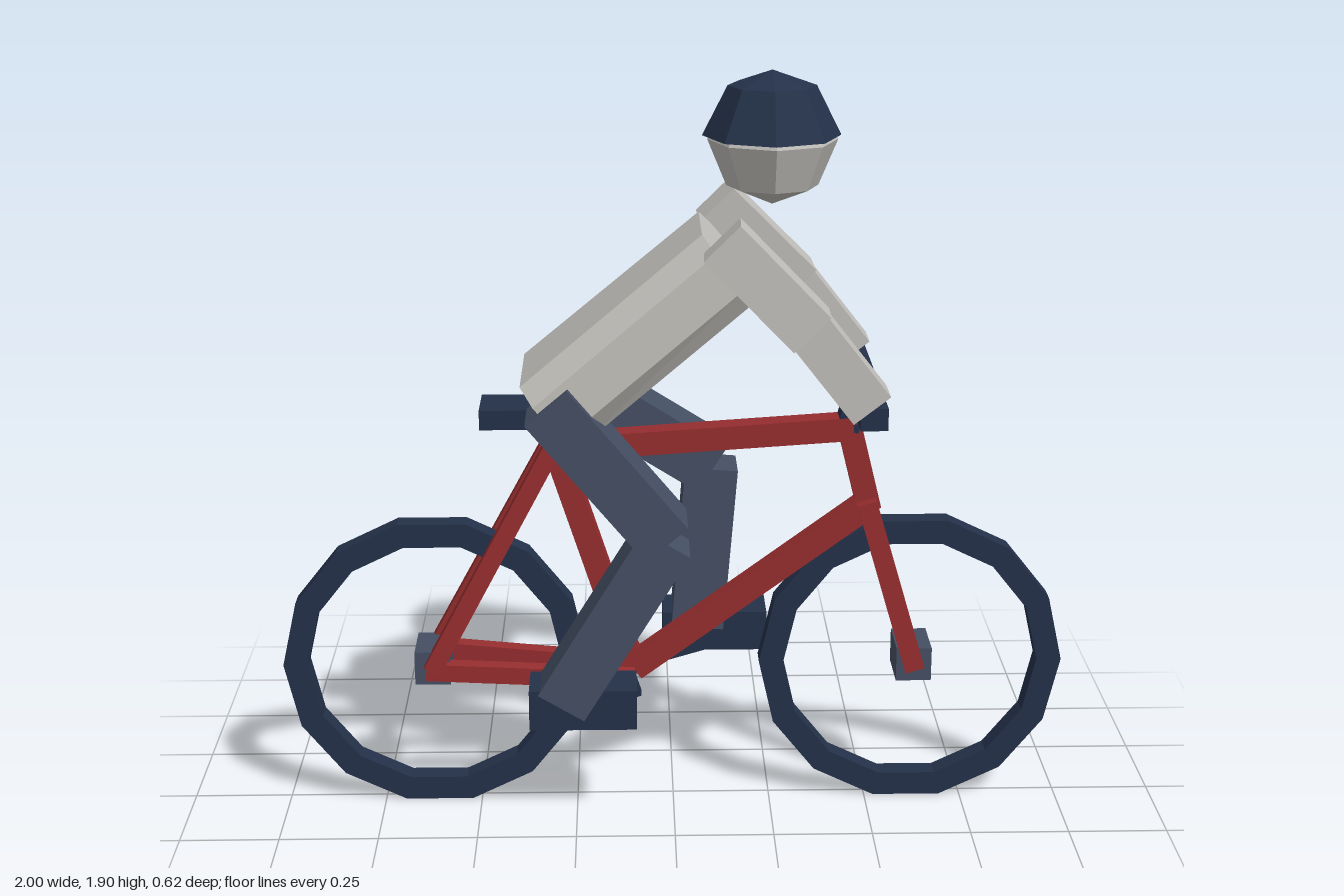
import * as THREE from 'three';

const mat = (name, color, side = THREE.FrontSide) => {
  const m = new THREE.MeshStandardMaterial({ color, side, flatShading: true });
  m.name = name;
  return m;
};
const V = (x, y, z = 0) => new THREE.Vector3(x, y, z);

export function createModel() {
  const navy = mat('navy', 0x243149, THREE.DoubleSide);
  const slate = mat('slate', 0x454f63);
  const red = mat('frameRed', 0x962d2f);
  const grey = mat('lightGrey', 0xc2c0bb);

  const root = new THREE.Group();
  root.name = 'cyclist';
  const group = (name) => {
    const g = new THREE.Group();
    g.name = name;
    root.add(g);
    return g;
  };
  const bike = group('bicycle');
  const rider = group('rider');

  const add = (parent, name, geo, material) => {
    const m = new THREE.Mesh(geo, material);
    m.name = name;
    parent.add(m);
    return m;
  };
  const box = (parent, name, material, size, pos) => {
    const m = add(parent, name, new THREE.BoxGeometry(...size), material);
    m.position.set(...pos);
    return m;
  };
  // Square bar from a to b: h is its height in the side plane, d its width in z
  const bar = (parent, name, material, a, b, h, d) => {
    const m = add(parent, name, new THREE.BoxGeometry(a.distanceTo(b), h, d), material);
    const X = b.clone().sub(a).normalize();
    const Y = V(0, 0, 1).cross(X).normalize();
    const Z = X.clone().cross(Y);
    m.quaternion.setFromRotationMatrix(new THREE.Matrix4().makeBasis(X, Y, Z));
    m.position.copy(a).add(b).multiplyScalar(0.5);
    return m;
  };

  // Wheels: 14-sided flat rings with box hubs
  const ringPoints = (r) => Array.from({ length: 14 }, (_, i) => {
    const a = (i / 14) * Math.PI * 2;
    return new THREE.Vector2(Math.cos(a) * r, Math.sin(a) * r);
  });
  const ring = new THREE.Shape(ringPoints(0.39));
  ring.holes.push(new THREE.Path(ringPoints(0.327).reverse()));
  const tyre = new THREE.ExtrudeGeometry(ring, { depth: 0.056, bevelEnabled: false });
  tyre.translate(0, 0, -0.028);
  for (const [name, x] of [['rear', -1], ['front', 1]]) {
    add(bike, name + 'Wheel', tyre, navy).position.set(x * 0.61, 0.38, 0);
    box(bike, name + 'Hub', slate, [0.09, 0.088, 0.135], [x * 0.615, 0.385, 0]);
  }

  // Frame
  bar(bike, 'topTube', red, V(-0.3, 0.955), V(0.45, 1.005), 0.06, 0.06);
  bar(bike, 'headTube', red, V(0.435, 1.03), V(0.495, 0.79), 0.06, 0.06);
  bar(bike, 'downTube', red, V(0.5, 0.805), V(-0.1, 0.36), 0.06, 0.06);
  bar(bike, 'seatTube', red, V(-0.315, 1.02), V(-0.1, 0.35), 0.06, 0.06);
  for (const s of [1, -1]) {
    bar(bike, 'seatStay', red, V(-0.3, 0.97, s * 0.04), V(-0.615, 0.385, s * 0.075), 0.045, 0.04);
    bar(bike, 'chainStay', red, V(-0.1, 0.345, s * 0.045), V(-0.63, 0.385, s * 0.075), 0.045, 0.04);
    bar(bike, 'forkBlade', red, V(0.485, 0.82, s * 0.05), V(0.615, 0.38, s * 0.08), 0.05, 0.042);
  }

  // Saddle, handlebar and cranks
  box(bike, 'saddle', navy, [0.28, 0.05, 0.14], [-0.34, 1.047, 0]);
  bar(bike, 'stem', navy, V(0.435, 1.0), V(0.46, 1.11), 0.055, 0.06);
  box(bike, 'handlebar', navy, [0.066, 0.055, 0.58], [0.472, 1.11, 0]);
  bar(bike, 'leftCrank', navy, V(-0.09, 0.345, 0.09), V(-0.24, 0.295, 0.09), 0.045, 0.04);
  bar(bike, 'rightCrank', navy, V(-0.09, 0.345, -0.09), V(0.08, 0.395, -0.09), 0.045, 0.04);

  // Torso: chamfered prism, wider at the hips
  const w = 0.2, h = 0.105, c = 0.05;
  const section = new THREE.Shape([
    [w, h - c], [w - c, h], [c - w, h], [-w, h - c],
    [-w, c - h], [c - w, -h], [w - c, -h], [w, c - h],
  ].map(([x, y]) => new THREE.Vector2(x, y)));
  const length = 0.575;
  const torsoGeo = new THREE.ExtrudeGeometry(section, { depth: length, bevelEnabled: false });
  const p = torsoGeo.attributes.position;
  for (let i = 0; i < p.count; i++) {
    p.setX(i, p.getX(i) * (1 - 0.13 * p.getZ(i) / length));
  }
  torsoGeo.computeVertexNormals();
  const torso = add(rider, 'torso', torsoGeo, grey);
  torso.quaternion.setFromRotationMatrix(new THREE.Matrix4().makeBasis(
    V(0, 0, -1), V(-0.643, 0.766), V(0.766, 0.643)).transpose().transpose());
  // Rotation must be right-handed: x = y cross z
  const along = V(0.766, 0.643).normalize();
  const up = V(-along.y, along.x);
  torso.quaternion.setFromRotationMatrix(
    new THREE.Matrix4().makeBasis(up.clone().cross(along), up, along));
  torso.position.set(-0.307, 1.075, 0);

  // Head and open helmet shell
  const head = add(rider, 'head', new THREE.SphereGeometry(0.158, 8, 4), grey);
  head.position.set(0.24, 1.73, 0);
  const shell = [[0.168, 1.74], [0.107, 1.86], [0, 1.897]].map(([x, y]) => new THREE.Vector2(x, y));
  const helmet = add(rider, 'helmet', new THREE.LatheGeometry(shell, 8), navy);
  helmet.position.x = 0.237;

  // Arms
  for (const s of [1, -1]) {
    bar(rider, 'upperArm', grey, V(0.11, 1.535, s * 0.23), V(0.322, 1.32, s * 0.25), 0.12, 0.118);
    bar(rider, 'forearm', grey, V(0.305, 1.34, s * 0.25), V(0.465, 1.135, s * 0.248), 0.11, 0.1);
  }

  // Legs: left pedal back and low, right pedal forward and high
  const legs = [
    ['left', 0.145, [-0.31, 1.12], [-0.02, 0.77], [-0.285, 0.335], [-0.23, 0.328]],
    ['right', -0.147, [-0.3, 1.117], [0.1, 0.865], [0.065, 0.43], [0.11, 0.42]],
  ];
  for (const [side, z, hip, knee, ankle, shoe] of legs) {
    bar(rider, side + 'Thigh', slate, V(...hip, z), V(...knee, z), 0.135, 0.148);
    bar(rider, side + 'Shin', slate, V(...knee, z), V(...ankle, z), 0.135, 0.132);
    box(rider, side + 'Shoe', navy, [0.27, 0.105, 0.13], [...shoe, z]);
  }

  return root;
}
